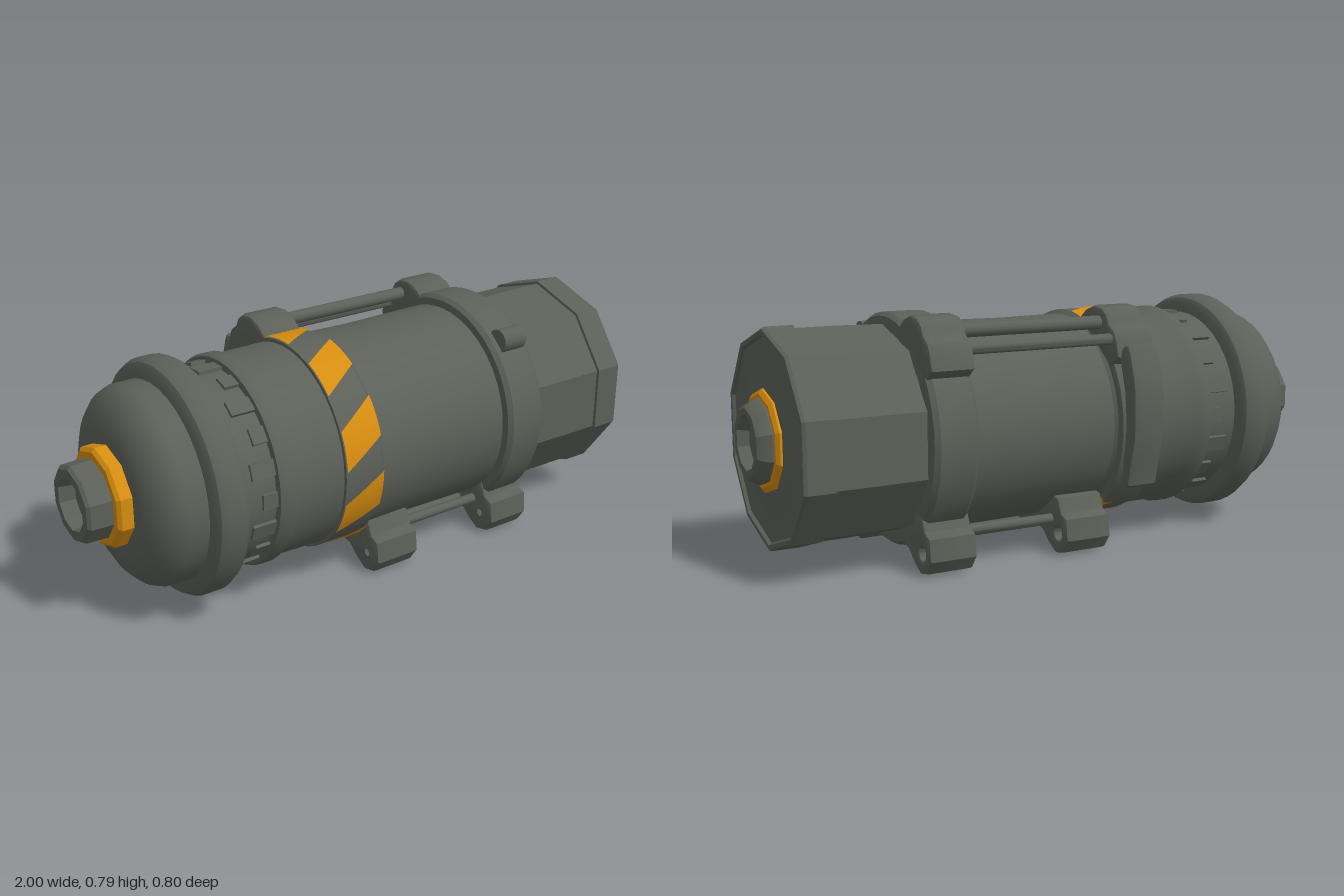
import * as THREE from 'three';
import { mergeGeometries, toCreasedNormals } from 'three/addons/utils/BufferGeometryUtils.js';

const CY = 0.413, CZ = 0.02; // long axis of the canister

export function createModel() {
  const root = new THREE.Group();
  root.name = 'canister';
  const grey = new THREE.MeshStandardMaterial({ color: 0x5c6058 });
  grey.name = 'grey green metal';
  const orange = new THREE.MeshStandardMaterial({ color: 0xd68c10 });
  orange.name = 'hazard orange';

  function add(name, geo, mat = grey) {
    const mesh = new THREE.Mesh(geo, mat);
    mesh.name = name;
    root.add(mesh);
    return mesh;
  }

  // Turned part: profile of [x, radius] from left to right along the long axis
  function turned(name, profile, sides = 40, mat = grey, crease = 0.55) {
    const pts = profile.map(([x, r]) => new THREE.Vector2(r, x));
    const geo = new THREE.LatheGeometry(pts, sides, Math.PI / 2);
    geo.rotateZ(-Math.PI / 2).translate(0, CY, CZ);
    return add(name, toCreasedNormals(geo, crease), mat);
  }

  // Slab: outline in (z, y), extruded from x0 to x1 with a small bevel
  function slab(name, shape, x0, x1, bevel = 0.01) {
    const geo = new THREE.ExtrudeGeometry(shape, {
      depth: x1 - x0 - 2 * bevel, bevelEnabled: true, bevelThickness: bevel,
      bevelSize: bevel, bevelOffset: -bevel, bevelSegments: 2, curveSegments: 16,
    });
    geo.rotateY(-Math.PI / 2).translate(x1 - bevel, 0, 0);
    return add(name, toCreasedNormals(geo, 0.6), grey);
  }

  function rod(name, x0, x1, y, z, r, sides = 12) {
    const geo = new THREE.CylinderGeometry(r, r, x1 - x0, sides);
    geo.rotateZ(-Math.PI / 2).translate((x0 + x1) / 2, y, z);
    return add(name, toCreasedNormals(geo, 0.6));
  }

  const outline = (pts) => new THREE.Shape(pts.map(([z, y]) => new THREE.Vector2(z, y)));

  // Left cap and its fat rounded ring
  turned('domeCap', [[-0.872, 0], [-0.872, 0.19], [-0.862, 0.235], [-0.84, 0.275],
    [-0.81, 0.305], [-0.78, 0.317], [-0.7, 0.318]]);
  turned('capRing', [[-0.715, 0.3], [-0.713, 0.345], [-0.702, 0.366], [-0.682, 0.377],
    [-0.63, 0.377], [-0.61, 0.366], [-0.599, 0.345], [-0.597, 0.3]], 48);

  // Main round shell
  turned('neck', [[-0.61, 0.317], [-0.48, 0.317]]);
  turned('neckCollar', [[-0.487, 0.3], [-0.483, 0.338], [-0.47, 0.344], [-0.435, 0.344],
    [-0.415, 0.333], [-0.24, 0.336]]);
  turned('stripeBand', [[-0.25, 0.33], [-0.25, 0.347], [-0.115, 0.347], [-0.1, 0.334]], 48);
  turned('mainBody', [[-0.11, 0.334], [0.1, 0.33], [0.42, 0.334]]);
  turned('rearRing', [[0.395, 0.325], [0.397, 0.358], [0.412, 0.37], [0.53, 0.37],
    [0.546, 0.358], [0.55, 0.32]], 48);

  // Small teeth around the neck
  for (let i = 0; i < 20; i++) {
    const tooth = new THREE.BoxGeometry(i % 2 ? 0.05 : 0.08, 0.02, 0.05);
    tooth.translate(i % 2 ? -0.51 : -0.525, 0.316, 0);
    tooth.rotateX((i / 20) * Math.PI * 2).translate(0, CY, CZ);
    add('neckTooth', tooth);
  }

  // Ten sided tail with a dished end plate
  turned('tail', [[0.54, 0.333], [0.7, 0.336], [0.85, 0.336]], 10, grey, 0.3);
  turned('tailCollar', [[0.835, 0.32], [0.84, 0.345], [0.93, 0.345], [0.94, 0.339],
    [0.94, 0.325], [0.93, 0.318], [0.925, 0.25], [0.935, 0.2], [0.94, 0.13], [0.94, 0]],
    10, grey, 0.3);

  // Orange hubs and hollow nozzles at both ends
  turned('leftHub', [[-0.92, 0], [-0.92, 0.148], [-0.91, 0.16], [-0.87, 0.16]], 10, orange, 0.3);
  turned('rightHub', [[0.93, 0.16], [0.945, 0.16], [0.955, 0.146], [0.955, 0]], 10, orange, 0.3);
  turned('leftNozzle', [[-0.95, 0], [-0.95, 0.075], [-1, 0.085], [-1, 0.113],
    [-0.99, 0.123], [-0.9, 0.126]], 10, grey, 0.3);
  turned('rightNozzle', [[0.94, 0.134], [0.96, 0.134], [0.985, 0.122], [1, 0.108],
    [1, 0.086], [0.965, 0.072], [0.965, 0]], 10, grey, 0.3);

  // Slanted hazard stripes wrapped around the band
  const stripes = [];
  const STRIPES = 9, pitch = (Math.PI * 2) / STRIPES;
  for (let k = 0; k < STRIPES; k++) {
    const geo = new THREE.PlaneGeometry(1, 1, 4, 6);
    const p = geo.attributes.position;
    for (let i = 0; i < p.count; i++) {
      const u = p.getX(i) + 0.5, v = p.getY(i) + 0.5;
      const a = 0.08 + k * pitch + 0.25 * u + 0.37 * v;
      p.setXYZ(i, -0.248 + 0.138 * u, CY + 0.351 * Math.sin(a), CZ + 0.351 * Math.cos(a));
    }
    geo.computeVertexNormals();
    stripes.push(geo);
  }
  add('hazardStripes', mergeGeometries(stripes), orange);

  // Clamp strap hugging the back of the striped band
  const strap = new THREE.Shape();
  const a0 = 1.95, a1 = 3.95;
  strap.absarc(CZ, CY, 0.37, a0, a1, false);
  strap.absarc(CZ, CY, 0.325, a1, a0, true);
  slab('clampStrap', strap, -0.245, -0.11);

  // Grab handle on the back
  slab('handle', outline([[-0.3, 0.64], [-0.32, 0.668], [-0.335, 0.677], [-0.355, 0.675],
    [-0.368, 0.65], [-0.392, 0.57], [-0.4, 0.52], [-0.4, 0.38], [-0.378, 0.3], [-0.362, 0.225],
    [-0.345, 0.215], [-0.32, 0.22], [-0.325, 0.3], [-0.34, 0.41], [-0.335, 0.52]]),
    -0.235, -0.12, 0.015);

  // Lugs on the upper back of the clamp and ring, joined by two rods
  const lug = outline([[-0.08, 0.74], [-0.125, 0.775], [-0.17, 0.79], [-0.22, 0.786],
    [-0.25, 0.765], [-0.265, 0.735], [-0.295, 0.715], [-0.312, 0.68], [-0.322, 0.635],
    [-0.28, 0.6], [-0.18, 0.66]]);
  slab('clampLug', lug, -0.25, -0.105, 0.014);
  slab('ringLug', lug, 0.398, 0.547, 0.014);
  rod('upperRod', -0.12, 0.42, 0.738, -0.208, 0.022);
  rod('lowerRod', -0.12, 0.42, 0.69, -0.275, 0.018);

  // Round boss on the upper front of the ring
  rod('ringBoss', 0.43, 0.52, 0.692, 0.27, 0.04, 14);

  // Two pairs of pierced feet with rails between them
  for (const side of [1, -1]) {
    const at = (z) => 0.01 + side * (z - 0.01);
    const foot = outline([[0.2, 0.2], [0.265, 0.185], [0.285, 0.14], [0.318, 0.125],
      [0.326, 0.055], [0.295, 0.012], [0.25, 0.002], [0.205, 0.028], [0.165, 0.062],
      [0.1, 0.075], [0.1, 0.13]].map(([z, y]) => [at(z), y]));
    const hole = new THREE.Path();
    hole.absarc(at(0.265), 0.07, 0.022, 0, Math.PI * 2, true);
    foot.holes.push(hole);
    slab('middleFoot', foot, -0.095, 0.07);
    slab('rearFoot', foot, 0.39, 0.55);
    rod('outerRail', 0.05, 0.41, 0.112, at(0.225), 0.016);
    rod('innerRail', 0.05, 0.41, 0.085, at(0.15), 0.016);
  }

  // Belly straps tying each pair of feet together
  const belly = new THREE.Shape();
  belly.absarc(CZ, CY, 0.352, -2.2, -0.94, false);
  belly.absarc(CZ, CY, 0.31, -0.94, -2.2, true);
  slab('bellyStrap', belly, -0.09, 0.06);

  return root;
}
